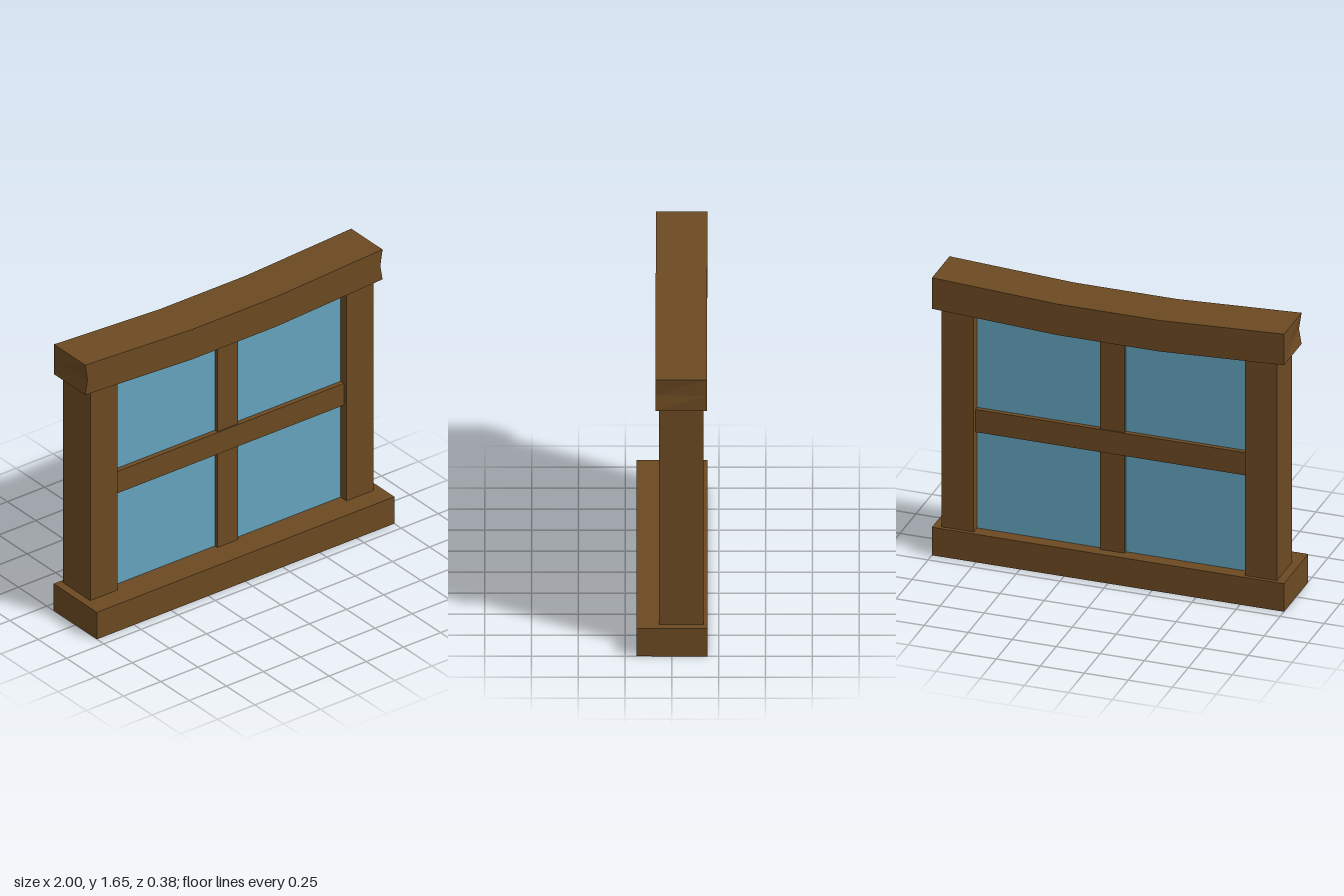
import * as THREE from 'three';

const wood = new THREE.MeshStandardMaterial({ color: 0x6c4a22 });
wood.name = 'brown wood';
const glass = new THREE.MeshStandardMaterial({ color: 0x64a4be });
glass.name = 'blue glass';

// Box given by its low and high limits on each axis
function block(name, material, [x0, x1], [y0, y1], [z0, z1]) {
  const mesh = new THREE.Mesh(new THREE.BoxGeometry(x1 - x0, y1 - y0, z1 - z0), material);
  mesh.position.set((x0 + x1) / 2, (y0 + y1) / 2, (z0 + z1) / 2);
  mesh.name = name;
  return mesh;
}

// Sagging top beam, with a small dent in the front edge of each end
function makeLintel() {
  const outline = [
    [-1, 1.467], [-0.29, 1.43], [0.29, 1.43], [1, 1.467], [1, 1.555],
    [1, 1.652], [0.29, 1.615], [-0.29, 1.615], [-1, 1.652], [-1, 1.555],
  ].map(([x, y]) => new THREE.Vector2(x, y));
  const geometry = new THREE.ExtrudeGeometry(new THREE.Shape(outline), { depth: 0.275, bevelEnabled: false });
  geometry.translate(0, 0, -0.188);
  const p = geometry.attributes.position;
  for (let i = 0; i < p.count; i++) {
    const dented = Math.abs(p.getX(i)) > 0.9 && Math.abs(p.getY(i) - 1.555) < 0.01 && p.getZ(i) > 0;
    if (dented) p.setX(i, Math.sign(p.getX(i)) * 0.985);
  }
  geometry.computeVertexNormals();
  const mesh = new THREE.Mesh(geometry, wood);
  mesh.name = 'lintel';
  return mesh;
}

export function createModel() {
  const model = new THREE.Group();
  model.name = 'window';
  model.add(
    block('sill', wood, [-1, 1], [0, 0.167], [-0.19, 0.19]),
    block('leftPost', wood, [0.77, 0.953], [0.15, 1.48], [-0.168, 0.07]),
    block('rightPost', wood, [-0.953, -0.77], [0.15, 1.48], [-0.168, 0.07]),
    block('verticalBar', wood, [-0.075, 0.065], [0.15, 1.48], [-0.135, 0.04]),
    block('horizontalBar', wood, [-0.78, 0.78], [0.75, 0.885], [-0.142, 0.047]),
    block('glassPane', glass, [-0.78, 0.78], [0.15, 1.48], [-0.115, 0.018]),
    makeLintel(),
  );
  return model;
}
